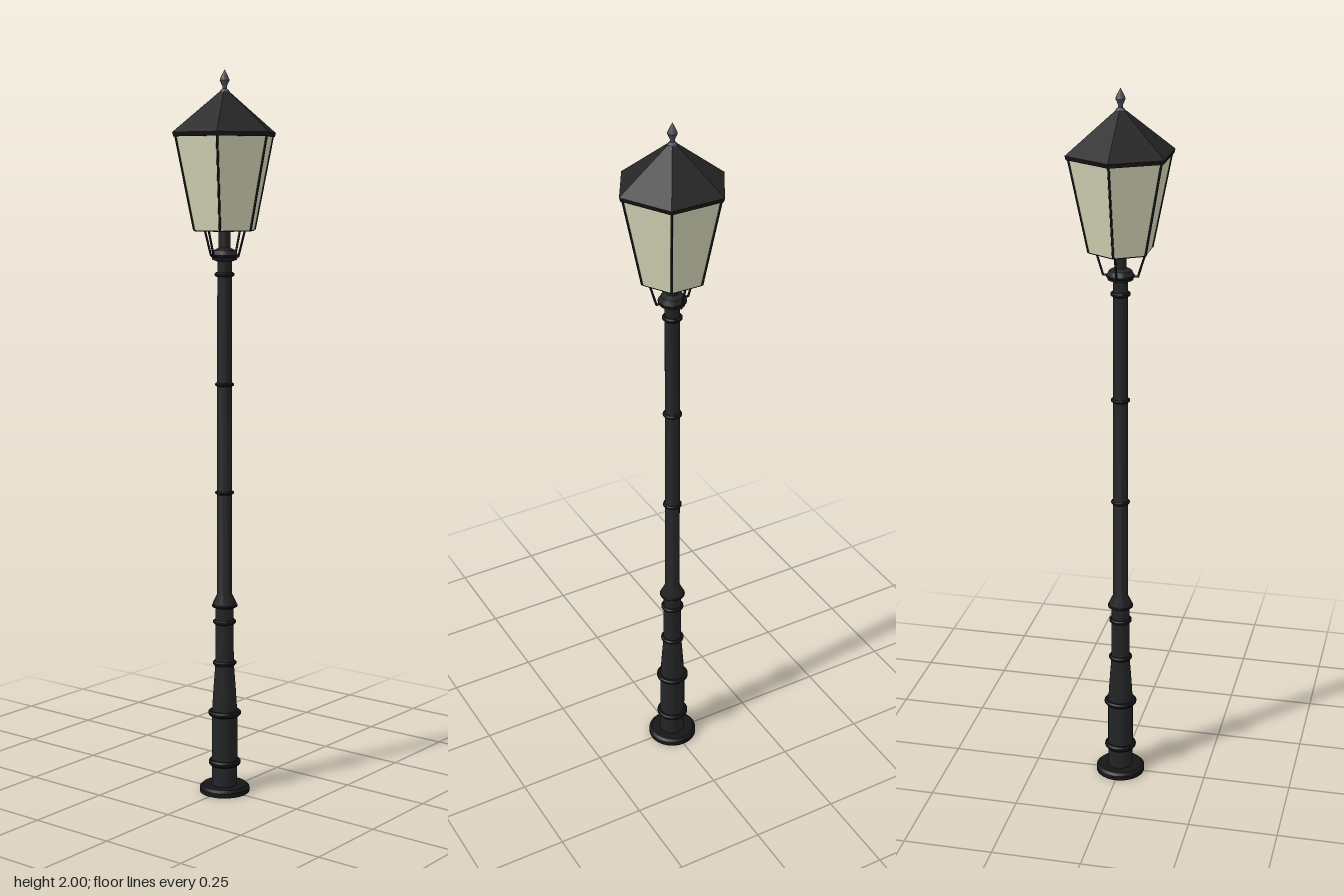
import * as THREE from 'three';
import { toCreasedNormals } from 'three/addons/utils/BufferGeometryUtils.js';

export function createModel() {
  const lamp = new THREE.Group();
  lamp.name = 'streetLamp';

  const material = (name, color, flatShading = false) => {
    const m = new THREE.MeshStandardMaterial({ color, flatShading });
    m.name = name;
    return m;
  };
  const iron = material('castIron', 0x232425);
  const roofBlack = material('roofBlack', 0x262626, true);
  const trim = material('blackTrim', 0x161617);
  const glass = material('frostedGlass', 0xd8d8ba, true);
  glass.side = THREE.DoubleSide;
  const steel = material('finialSteel', 0x4c4c52);

  const add = (name, geometry, mat, parent = lamp) => {
    const mesh = new THREE.Mesh(geometry, mat);
    mesh.name = name;
    parent.add(mesh);
    return mesh;
  };

  // Turned part from [radius, height] pairs, listed bottom to top
  const turned = (points, segments = 24) => toCreasedNormals(
    new THREE.LatheGeometry(points.map(([r, y]) => new THREE.Vector2(r, y)), segments), 0.6);

  // Six-sided frustum with corners on the x axis
  const hex = (rTop, rBottom, y0, y1, open = false) =>
    new THREE.CylinderGeometry(rTop, rBottom, y1 - y0, 6, 1, open)
      .rotateY(Math.PI / 6).translate(0, (y0 + y1) / 2, 0);

  // Straight round bar between two points
  const bar = (name, a, b, radius, mat, parent) => {
    const dir = b.clone().sub(a);
    const mesh = add(name, new THREE.CylinderGeometry(radius, radius, dir.length(), 6), mat, parent);
    mesh.position.copy(a).add(b).multiplyScalar(0.5);
    mesh.quaternion.setFromUnitVectors(new THREE.Vector3(0, 1, 0), dir.normalize());
  };
  const polar = (r, angle, y) => new THREE.Vector3(r * Math.cos(angle), y, r * Math.sin(angle));

  // Foot plate
  add('footPlate', turned([[0, 0], [0.07, 0], [0.07, 0.013], [0.062, 0.02], [0, 0.02]], 32), trim);

  // Pedestal, shaft and neck
  add('post', turned([
    [0.036, 0.015], [0.036, 0.225], [0.032, 0.29], [0.026, 0.37], [0.025, 0.53],
    [0.033, 0.535], [0.033, 0.543], [0.021, 0.568], [0.02, 1.49],
    [0.034, 1.495], [0.036, 1.508], [0.03, 1.52], [0.016, 1.527], [0.016, 1.575],
  ]), iron);

  // Rounded bands: [height, radius, half height]
  const bands = [
    [0.085, 0.045, 0.008], [0.228, 0.046, 0.007], [0.372, 0.033, 0.006], [0.49, 0.032, 0.006],
    [0.536, 0.036, 0.004], [0.855, 0.026, 0.005], [1.155, 0.026, 0.005],
    [1.455, 0.027, 0.006], [1.505, 0.038, 0.005],
  ];
  for (const [y, r, h] of bands) {
    add('postBand', turned([
      [0.012, y - h], [r - 0.004, y - h], [r, y - h * 0.4],
      [r, y + h * 0.4], [r - 0.004, y + h], [0.012, y + h],
    ]), trim);
  }

  // Lantern
  const lantern = new THREE.Group();
  lantern.name = 'lantern';
  lamp.add(lantern);
  add('glassPanes', hex(0.141, 0.088, 1.575, 1.827, true), glass, lantern);
  add('lanternFloor', hex(0.0885, 0.087, 1.572, 1.578), trim, lantern);
  add('eave', hex(0.15, 0.147, 1.823, 1.834), trim, lantern);
  add('roof', hex(0.014, 0.15, 1.834, 1.942), roofBlack, lantern);

  // Corner bars of the glazing
  for (let i = 0; i < 6; i++) {
    const a = i * Math.PI / 3;
    bar('cornerBar', polar(0.088, a, 1.575), polar(0.141, a, 1.826), 0.0032, trim, lantern);
  }

  // Four struts from the collar up to the lantern floor
  for (let i = 0; i < 4; i++) {
    const a = i * Math.PI / 2;
    bar('strut', polar(0.047, a, 1.504), polar(0.069, a, 1.575), 0.003, trim, lantern);
    bar('strutFoot', polar(0.03, a, 1.505), polar(0.048, a, 1.505), 0.003, trim, lantern);
  }

  // Spear finial
  add('finial', turned([
    [0.014, 1.938], [0.012, 1.945], [0.006, 1.95], [0.006, 1.956],
    [0.0135, 1.972], [0.01, 1.981], [0, 2],
  ], 12), steel, lantern);

  return lamp;
}
